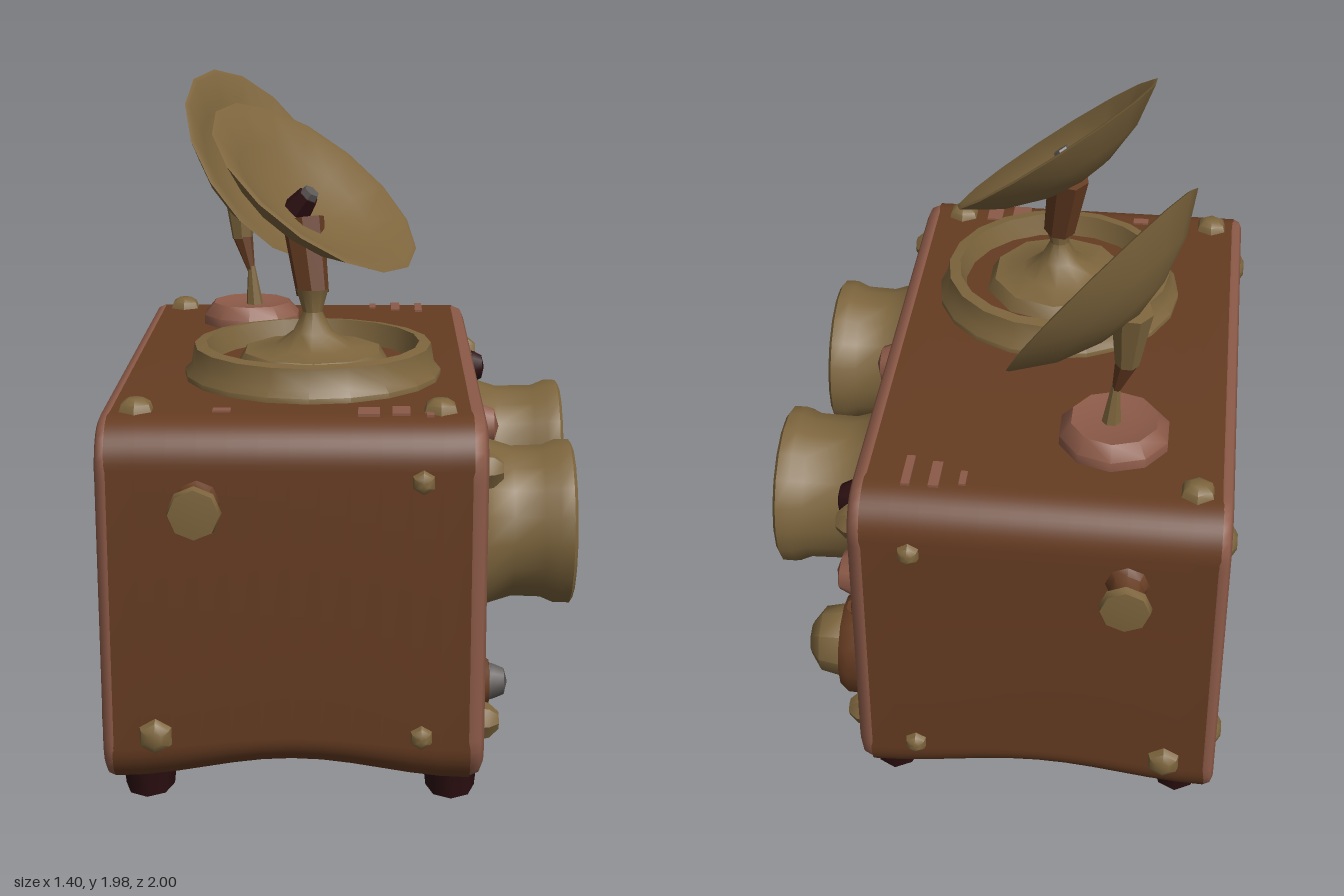
import * as THREE from 'three';
import { toCreasedNormals } from 'three/addons/utils/BufferGeometryUtils.js';

const V = (x, y, z) => new THREE.Vector3(x, y, z);
const UP = V(0, 1, 0);

export function createModel() {
  const root = new THREE.Group();
  const mat = (name, color) => {
    const m = new THREE.MeshStandardMaterial({ color, side: THREE.DoubleSide });
    m.name = name;
    return m;
  };
  const brown = mat('brown leather', 0x663c22);
  const brass = mat('aged brass', 0x7d653d);
  const copper = mat('dusty copper', 0x8c5a48);
  const dark = mat('dark maroon', 0x2c0f11);
  const grey = mat('grey glass', 0x5c5856);

  const add = (name, geo, material, parent = root) => {
    const m = new THREE.Mesh(geo, material);
    m.name = name;
    parent.add(m);
    return m;
  };
  // Turned part: profile of [radius, height] along direction dir from pos
  const turned = (name, profile, material, pos, dir = UP, sides = 16) => {
    const geo = new THREE.LatheGeometry(profile.map(p => new THREE.Vector2(...p)), sides);
    const m = add(name, toCreasedNormals(geo, 0.8), material);
    m.position.copy(pos);
    m.quaternion.setFromUnitVectors(UP, dir.clone().normalize());
    return m;
  };
  // Round rod between two points
  const rod = (name, a, b, ra, rb, material, sides = 7) =>
    turned(name, [[0, 0], [ra, 0], [rb, a.distanceTo(b)], [0, a.distanceTo(b)]], material, a, b.clone().sub(a), sides);
  // Rounded rectangle in the z-y plane, centred on y = 0.6
  const outline = (hw, hh, r) => {
    const s = new THREE.Shape();
    s.absarc(hw - r, 0.6 + hh - r, r, 0, Math.PI / 2);
    s.absarc(-hw + r, 0.6 + hh - r, r, Math.PI / 2, Math.PI);
    s.absarc(-hw + r, 0.6 - hh + r, r, Math.PI, Math.PI * 1.5);
    s.absarc(hw - r, 0.6 - hh + r, r, Math.PI * 1.5, Math.PI * 2);
    s.closePath();
    return s;
  };
  const slab = (name, shape, x0, x1, material, steps = 1) => {
    const geo = new THREE.ExtrudeGeometry(shape, { depth: x1 - x0, steps, bevelEnabled: false, curveSegments: 6 });
    geo.rotateY(Math.PI / 2).translate(x0, 0, 0);
    return add(name, geo, material);
  };

  // Case, with its underside sagging upward in the middle
  const body = slab('caseBody', outline(0.88, 0.54, 0.13), -0.645, 0.37, brown, 12);
  const p = body.geometry.attributes.position;
  for (let i = 0; i < p.count; i++) {
    const t = (p.getX(i) + 0.645) / 1.015;
    const low = Math.max(0, 1 - (p.getY(i) - 0.06) / 0.3);
    p.setY(i, p.getY(i) + 0.06 * low * Math.sin(Math.PI * t) ** 2);
  }
  body.geometry = toCreasedNormals(body.geometry, 0.7);

  // Side panels with dark gaps and copper rims
  slab('frontPanelGap', outline(0.83, 0.49, 0.09), 0.365, 0.372, dark);
  slab('frontPanel', outline(0.81, 0.47, 0.08), 0.36, 0.385, brass);
  slab('backPanelGap', outline(0.84, 0.5, 0.09), -0.65, -0.64, dark);
  slab('backPanel', outline(0.825, 0.485, 0.08), -0.657, -0.64, brass);
  for (const [x, r] of [[0.37, 0.04], [-0.645, 0.028]]) {
    const pts = outline(0.882 - r, 0.542 - r, 0.11).getPoints(6).map(q => V(x, q.y, q.x));
    const path = new THREE.CurvePath();
    pts.forEach((a, i) => {
      const b = pts[(i + 1) % pts.length];
      if (a.distanceTo(b) > 1e-4) path.add(new THREE.LineCurve3(a, b));
    });
    add('caseRim', new THREE.TubeGeometry(path, 200, r, 8, true), copper);
  }

  // Feet
  for (const x of [-0.56, 0.32]) for (const z of [-0.69, 0.7]) {
    const foot = add('foot', new THREE.CylinderGeometry(0.11, 0.095, 0.1, 8), dark);
    foot.scale.x = 0.75;
    foot.position.set(x, 0.05, z);
  }

  // Twin lenses
  const side = V(1, 0, 0);
  for (const [z, len] of [[0.44, 0.3], [-0.3, 0.33]]) {
    const at = V(0.38, 0.73, z);
    turned('lensBarrel', [[0.3, 0], [0.25, 0.04], [0.225, 0.12], [0.228, len - 0.09], [0.245, len - 0.05],
      [0.245, len - 0.01], [0.23, len], [0.205, len - 0.01]], brass, at, side, 18);
    turned('lensInnerRing', [[0.207, len - 0.012], [0.17, len - 0.07], [0.165, len - 0.09]], dark, at, side, 18);
    turned('lensGlass', [[0.172, len - 0.085], [0.1, len - 0.075], [0, len - 0.07]], grey, at, side, 18);
  }

  // Knobs on the lens panel
  const knob = (name, y, z, r, h, m, x = 0.375) =>
    turned(name, [[r * 1.15, 0], [r, h * 0.4], [r * 0.75, h * 0.85], [0, h]], m, V(x, y, z), side, 8);
  knob('topKnob', 0.93, 0.1, 0.075, 0.11, copper);
  knob('lowerBrassKnob', 0.25, 0.16, 0.06, 0.08, brass);
  knob('lowerCopperKnob', 0.25, -0.21, 0.06, 0.1, copper);
  knob('smallDialCollar', 0.28, 0.59, 0.09, 0.07, brown);
  knob('smallDial', 0.28, 0.59, 0.055, 0.07, grey, 0.42);
  knob('upperDialCollar', 0.95, -0.62, 0.08, 0.07, brass);
  knob('upperDial', 0.95, -0.62, 0.055, 0.06, dark, 0.42);
  knob('ovalKnob', 0.75, -0.71, 0.06, 0.1, copper).scale.z = 1.6;
  rod('lever', V(0.4, 0.46, -0.62), V(0.44, 0.58, -0.68), 0.025, 0.025, brown);
  knob('leverTip', 0.57, -0.67, 0.04, 0.08, brown);
  turned('bigDialRing', [[0.17, 0], [0.165, 0.09], [0.14, 0.12], [0.105, 0.11], [0.1, 0.02]], brown, V(0.375, 0.34, -0.58), side, 12);
  turned('bigDialBall', [[0.09, 0.05], [0.115, 0.12], [0.1, 0.19], [0.05, 0.225], [0, 0.23]], brass, V(0.375, 0.34, -0.58), side, 8);

  // Corner bolts on every face
  const bolt = (pos, dir, r = 0.045, h = 0.035) =>
    turned('cornerBolt', [[r * 1.2, -0.005], [r, h * 0.6], [r * 0.5, h], [0, h]], brass, pos, dir, 6);
  for (const s of [-1, 1]) {
    for (const y of [0.23, 0.98]) {
      bolt(V(-0.655, y, s * 0.73), V(-1, 0, 0));
      bolt(V(0.385, y, s * 0.76), side, 0.05, 0.07);
      bolt(V(0.23, y, s * 0.88), V(0, 0, s), 0.03, 0.03);
    }
    bolt(V(-0.52, 0.23, s * 0.88), V(0, 0, s));
    bolt(V(-0.57, 1.14, s * 0.72), UP);
    // Strap studs on the ends
    const end = V(-0.39, 0.92, s * 0.87), out = V(0, 0, s);
    turned('strapStud', [[0.07, 0], [0.05, 0.03], [0.045, 0.08]], brown, end, out, 8);
    turned('strapStudCap', [[0.045, 0.07], [0.075, 0.1], [0.07, 0.125], [0, 0.13]], brass, end, out, 8);
  }
  bolt(V(0.28, 1.14, 0.72), UP);

  // Worn patches on the top
  for (const [x, z, w, d] of [[0.17, -0.72, 0.03, 0.11], [0.25, -0.71, 0.025, 0.13], [0.09, -0.73, 0.02, 0.06],
    [0.08, 0.74, 0.06, 0.08], [0.17, 0.73, 0.05, 0.08], [0.25, 0.75, 0.02, 0.07], [-0.33, 0.73, 0.05, 0.03]])
    add('wornPatch', new THREE.BoxGeometry(w, 0.008, d), copper).position.set(x, 1.142, z);

  // Turntable
  const hub = V(-0.09, 0, 0.27);
  turned('turntable', [[0.385, 1.13], [0.385, 1.155], [0.365, 1.175], [0.355, 1.235], [0.32, 1.24], [0.3, 1.17]], brass, hub, UP, 20);
  turned('turntableGroove', [[0.302, 1.172], [0.22, 1.175]], brown, hub, UP, 20);
  turned('turntableMound', [[0.24, 1.165], [0.21, 1.215], [0.12, 1.225], [0.06, 1.27], [0.03, 1.33], [0.05, 1.4]], brass, hub, UP, 10);

  // Dishes: shallow turned shells with a feed in the bowl
  const dish = (name, centre, n) => turned(name, [[0, -0.14], [0.12, -0.122], [0.25, -0.075], [0.366, 0],
    [0.35, 0.004], [0.24, -0.05], [0.12, -0.09], [0, -0.105]], brass, centre, n, 15);
  const n1 = V(0.57, 0.775, 0.27).normalize(), c1 = V(-0.08, 1.7, 0.23);
  dish('mainDish', c1, n1);
  rod('mainDishBracket', V(-0.09, 1.38, 0.26), V(-0.12, 1.6, 0.21), 0.05, 0.065, brown);
  rod('mainDishFeed', c1.clone().addScaledVector(n1, -0.11), c1.clone().addScaledVector(n1, -0.04), 0.05, 0.035, dark, 6);
  rod('mainDishFeedTip', c1.clone().addScaledVector(n1, -0.045), c1.clone().addScaledVector(n1, -0.02), 0.03, 0.025, grey, 6);

  const n2 = V(0.735, 0.56, 0.38).normalize(), c2 = V(-0.27, 1.675, -0.49);
  dish('rearDish', c2, n2);
  rod('rearDishFeed', c2.clone().addScaledVector(n2, -0.11), c2.clone().addScaledVector(n2, 0.02), 0.07, 0.01, brass, 5);
  turned('rearDishPad', [[0.165, 1.13], [0.165, 1.17], [0.13, 1.21], [0.08, 1.2], [0, 1.2]], copper, V(-0.32, 0, -0.49), UP, 10);
  rod('rearDishPost', V(-0.31, 1.19, -0.49), V(-0.32, 1.33, -0.49), 0.03, 0.012, brass);
  rod('rearDishStem', V(-0.32, 1.31, -0.49), V(-0.35, 1.43, -0.51), 0.012, 0.035, brown);
  rod('rearDishBracket', V(-0.35, 1.42, -0.51), V(-0.36, 1.61, -0.53), 0.035, 0.06, brass);

  return root;
}
